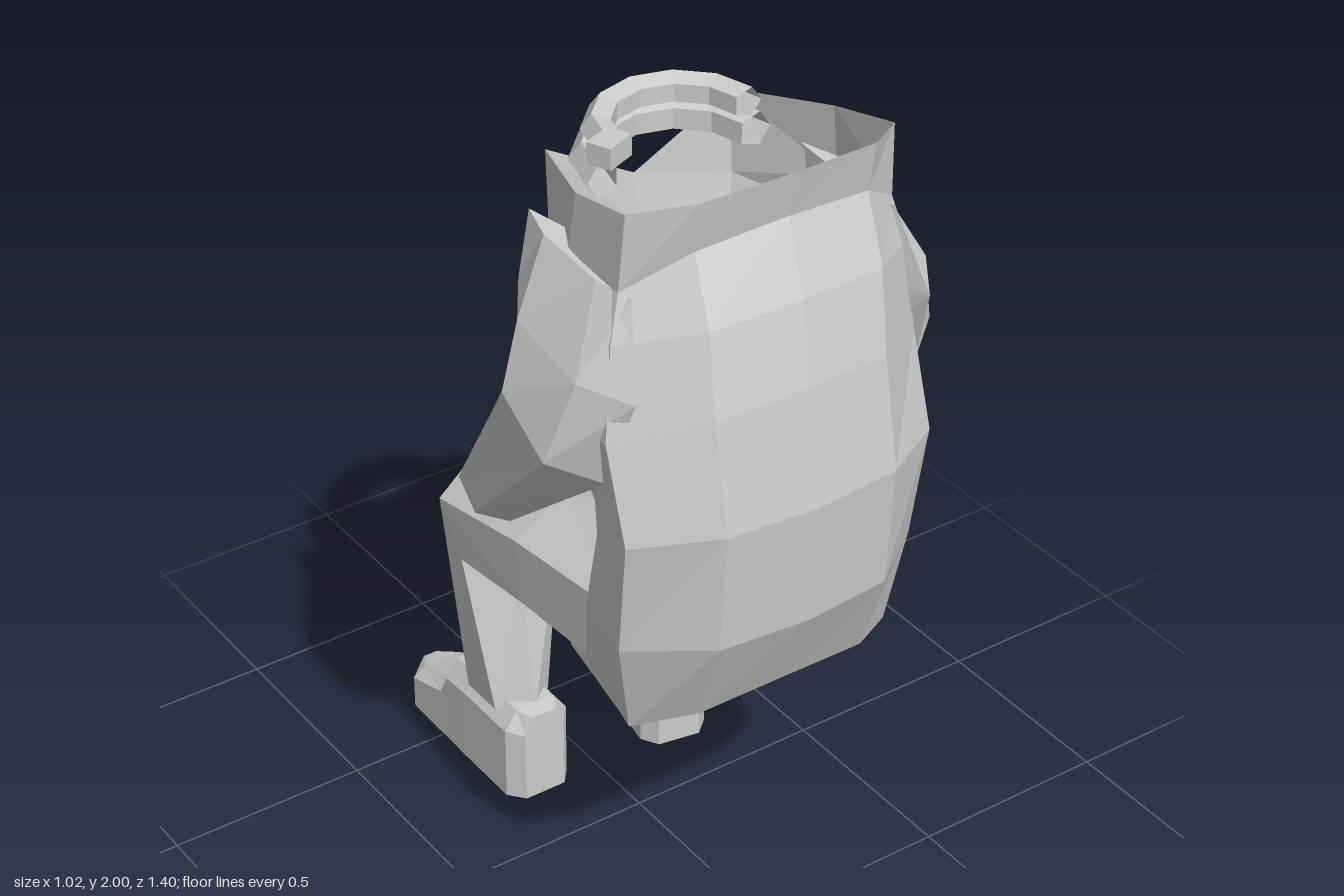
import * as THREE from 'three';

const grey = new THREE.MeshStandardMaterial({ color: 0xcccccc, flatShading: true, side: THREE.DoubleSide });

// Skin a list of closed rings (each an array of [x, y, z]); the top may stay open
function loft(name, rings, openTop = false) {
  const n = rings[0].length, pos = [], idx = [];
  rings.forEach(r => r.forEach(p => pos.push(...p)));
  for (let i = 0; i < rings.length - 1; i++)
    for (let j = 0; j < n; j++) {
      const a = i * n + j, b = i * n + (j + 1) % n;
      idx.push(a, a + n, b, b, a + n, b + n);
    }
  const cap = (row, flip) => {
    const c = pos.length / 3;
    pos.push(...[0, 1, 2].map(k => rings[row].reduce((s, p) => s + p[k], 0) / n));
    for (let j = 0; j < n; j++) {
      const a = row * n + j, b = row * n + (j + 1) % n;
      idx.push(c, flip ? b : a, flip ? a : b);
    }
  };
  if (!openTop) cap(0, false);
  cap(rings.length - 1, true);
  const g = new THREE.BufferGeometry();
  g.setAttribute('position', new THREE.Float32BufferAttribute(pos, 3));
  g.setIndex(idx);
  g.computeVertexNormals();
  const mesh = new THREE.Mesh(g, grey);
  mesh.name = name;
  return mesh;
}

// Limb from stations [x, y, z, half width, half depth, forward tilt in degrees]
function limb(name, stations, sides = 6) {
  return loft(name, stations.map(([x, y, z, w, d, tilt]) => {
    const t = THREE.MathUtils.degToRad(tilt);
    return Array.from({ length: sides }, (_, i) => {
      const a = i / sides * Math.PI * 2, depth = d * Math.cos(a);
      return [x + w * Math.sin(a), y - depth * Math.sin(t), z + depth * Math.cos(t)];
    });
  }));
}

// Robe ring: back centre, back corner, side, flank, front corner, front centre, then mirrored
function robeRing([shift, yBack, zBack, drop, side, flank, front, yMid, zMid]) {
  const right = [[.22, yBack - drop, zBack - .02], side, flank, front];
  const left = right.map(([x, y, z]) => [-x, y, z]).reverse();
  return [[0, yBack, zBack], ...right, [0, yMid, zMid], ...left].map(([x, y, z]) => [x + shift, y, z]);
}

// Boot from sections [z, half width, height], heel first
function boot(name, x, z, turn) {
  const sections = [[0, .055, .24], [-.04, .088, .245], [-.23, .088, .245], [-.31, .086, .235],
    [-.34, .086, .16], [-.47, .085, .11], [-.53, .03, .09]];
  const mesh = loft(name, sections.map(([d, w, h]) => [
    [-w, 0, d], [w, 0, d], [w, h * .8, d], [w * .6, h, d], [-w * .6, h, d], [-w, h * .8, d]]));
  mesh.position.set(x, 0, z);
  mesh.rotation.y = turn;
  return mesh;
}

export function createModel() {
  const model = new THREE.Group();

  // Hollow robe with an open collar
  model.add(loft('robe', [
    [0, 2, .55, .01, [.34, 1.96, .44], [.33, 1.92, .25], [.24, 1.88, 0], 1.74, -.02],
    [0, 1.89, .53, .02, [.35, 1.78, .43], [.35, 1.74, .24], [.24, 1.68, .01], 1.62, 0],
    [-.01, 1.73, .6, .01, [.38, 1.68, .46], [.39, 1.62, .24], [.23, 1.57, .03], 1.54, .02],
    [-.03, 1.55, .65, .01, [.4, 1.48, .5], [.37, 1.44, .28], [.2, 1.41, .07], 1.41, .05],
    [-.03, 1.28, .7, 0, [.4, 1.26, .57], [.36, 1.25, .42], [.22, 1.22, .18], 1.2, .11],
    [-.03, .98, .68, 0, [.39, .97, .53], [.36, .97, .36], [.22, 1, .2], .98, .16],
    [-.01, .76, .58, .02, [.35, .71, .48], [.34, .78, .3], [.2, .8, .18], .8, .16],
    [0, .73, .44, .08, [.26, .65, .36], [.25, .67, .28], [.18, .72, .2], .75, .17],
  ].map(robeRing), true));

  // Sleeves spread broadly over the shoulders; the right arm reaches further forward
  const shoulder = s => [[s * .335, 1.79, .27, .03, .19, 5], [s * .38, 1.62, .32, .085, .22, 12],
    [s * .405, 1.45, .31, .12, .18, 32]];
  model.add(
    limb('leftSleeve', [...shoulder(1), [.39, .97, .06, .09, .1, 40]]),
    limb('leftHand', [[.39, 1, .06, .05, .06, 42], [.37, .89, -.04, .06, .06, 42], [.35, .82, -.1, .035, .035, 30]]),
    limb('rightSleeve', [...shoulder(-1), [-.36, 1.05, -.05, .08, .09, 44]]),
    limb('rightHand', [[-.35, 1.07, -.05, .05, .06, 46], [-.31, 1, -.14, .06, .055, 46], [-.27, .95, -.2, .035, .04, 40]]));

  // Bent legs: hip, mid thigh, knee, ankle
  [['left', .2, .25, .25], ['right', -.16, -.145, -.16]].forEach(([side, hip, knee, ankle]) => {
    model.add(limb(side + 'Leg', [
      [hip, .83, .34, .17, .18, 82],
      [(hip + knee) / 2, .785, -.05, .17, .16, 82],
      [knee, .715, -.37, .16, .154, 54],
      [ankle, .22, -.33, .088, .12, 0]]));
  });

  // The right boot points straight ahead, the left is turned out
  model.add(boot('rightBoot', -.16, -.17, 0), boot('leftBoot', .225, -.15, -.17));

  // Bulky half rings resting at the front of the collar: [radius, thickness, height]
  const collar = new THREE.Group();
  collar.name = 'neckRings';
  [[.175, .036, 1.93], [.195, .042, 1.86]].forEach(([r, tube, y]) => {
    const g = new THREE.TorusGeometry(r, tube, 5, 6, Math.PI);
    g.rotateX(-Math.PI / 2);
    const ring = new THREE.Mesh(g, grey);
    ring.name = 'neckRing';
    ring.position.set(0, y, .15);
    collar.add(ring);
  });
  const knot = new THREE.Mesh(new THREE.BoxGeometry(.08, .05, .06), grey);
  knot.name = 'ringKnot';
  knot.position.set(-.19, 1.94, .165);
  knot.rotation.y = .4;
  collar.add(knot);
  model.add(collar);

  return model;
}
